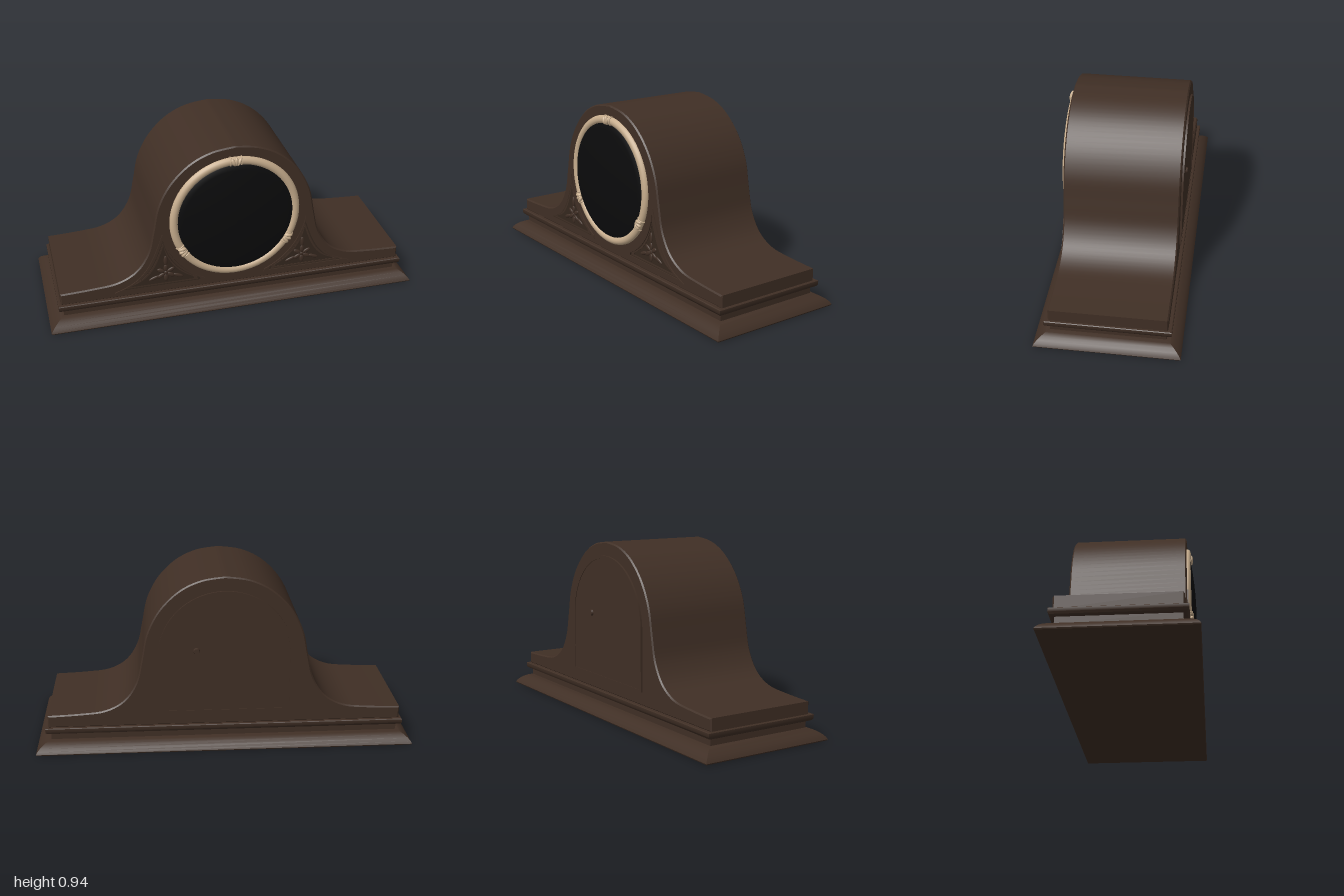
import * as THREE from 'three';
import { toCreasedNormals } from 'three/addons/utils/BufferGeometryUtils.js';

const material = (name, color) => {
  const m = new THREE.MeshStandardMaterial({ color });
  m.name = name;
  return m;
};

export function createModel() {
  const wood = material('dark wood', 0x402f25);
  const carved = material('shaded wood', 0x35271e);
  const brass = material('pale brass', 0xc8ae8e);
  const glass = material('black glass', 0x0b0b0c);

  const clock = new THREE.Group();
  clock.name = 'mantelClock';
  const add = (name, geometry, mat, parent = clock) => {
    const mesh = new THREE.Mesh(geometry, mat);
    mesh.name = name;
    parent.add(mesh);
    return mesh;
  };
  const V = (x, y) => new THREE.Vector2(x, y);

  // Rectangular moulding from a profile of [half depth, height]
  const moulding = (profile) => {
    const pos = [], index = [];
    for (const [d, y] of profile) {
      const w = d + 0.63;
      pos.push(-w, y, d, w, y, d, w, y, -d, -w, y, -d);
    }
    for (let i = 0; i < profile.length - 1; i++) {
      for (let k = 0; k < 4; k++) {
        const a = i * 4 + k, b = i * 4 + (k + 1) % 4;
        index.push(a, b, b + 4, a, b + 4, a + 4);
      }
    }
    const t = (profile.length - 1) * 4;
    index.push(0, 2, 1, 0, 3, 2, t, t + 1, t + 2, t, t + 2, t + 3);
    const g = new THREE.BufferGeometry();
    g.setAttribute('position', new THREE.Float32BufferAttribute(pos, 3));
    g.setIndex(index);
    return toCreasedNormals(g, 0.6);
  };

  // Stepped base
  add('plinth', moulding([[0.367, 0], [0.37, 0.006], [0.363, 0.018], [0.35, 0.032],
    [0.332, 0.045], [0.312, 0.055], [0.292, 0.06]]), wood);
  add('baseNeck', moulding([[0.292, 0.058], [0.292, 0.098]]), wood);
  add('baseBead', moulding([[0.303, 0.095], [0.313, 0.1], [0.319, 0.11], [0.319, 0.128],
    [0.315, 0.131], [0.29, 0.131]]), wood);

  // Case with arched top sweeping into flat shoulders
  const sweep = new THREE.SplineCurve([V(0.935, 0.195), V(0.76, 0.203), V(0.63, 0.219),
    V(0.53, 0.275), V(0.465, 0.375), V(0.435, 0.5), V(0.405, 0.64), V(0.34, 0.765),
    V(0.24, 0.865), V(0.125, 0.921), V(0, 0.94)]).getPoints(50);
  const mirrored = sweep.slice(0, -1).reverse().map((p) => V(-p.x, p.y));
  const outline = new THREE.Shape([V(-0.935, 0.128), V(0.935, 0.128), ...sweep, ...mirrored]);
  const caseGeometry = new THREE.ExtrudeGeometry(outline, {
    depth: 0.586, bevelThickness: 0.007, bevelSize: 0.007, bevelOffset: -0.007, bevelSegments: 1,
  }).translate(0, 0, -0.293);
  add('case', toCreasedNormals(caseGeometry, 0.5), wood);

  // Arched back door, with a raised edge and a small knob
  const doorShape = (inset) => {
    const r = 0.35 - inset, s = new THREE.Shape();
    s.moveTo(-r, 0.2 + inset);
    s.lineTo(r, 0.2 + inset);
    s.lineTo(r, 0.515);
    s.absarc(0, 0.515, r, 0, Math.PI, false);
    s.closePath();
    return s;
  };
  const plate = (shape, depth, z) => toCreasedNormals(
    new THREE.ExtrudeGeometry(shape, { depth, bevelEnabled: false, curveSegments: 40 }).translate(0, 0, z), 0.5);
  const doorFrame = doorShape(0);
  doorFrame.holes.push(doorShape(0.012));
  add('backDoorFrame', plate(doorFrame, 0.012, -0.31), wood);
  add('backDoor', plate(doorShape(0.01), 0.01, -0.307), wood);
  const knob = add('doorKnob', new THREE.CylinderGeometry(0.014, 0.018, 0.012, 20).rotateX(-Math.PI / 2), wood);
  knob.position.set(0.15, 0.545, -0.311);

  // Dial: brass bezel with a domed black glass
  const dial = new THREE.Group();
  dial.name = 'dial';
  dial.position.set(0, 0.535, 0.3);
  clock.add(dial);
  add('bezel', new THREE.TorusGeometry(0.326, 0.023, 14, 96), brass, dial).scale.z = 0.9;
  const dome = [V(0.312, 0.006)];
  for (let i = 11; i >= 0; i--) {
    const r = 0.306 * i / 11;
    dome.push(V(r, 0.014 + 0.027 * (1 - (r / 0.306) ** 2)));
  }
  add('domedGlass', new THREE.LatheGeometry(dome, 72).rotateX(Math.PI / 2), glass, dial);

  // Three small leaf clasps around the bezel
  for (const angle of [90, -30, 210]) {
    const clasp = new THREE.Group();
    clasp.name = 'bezelClasp';
    clasp.rotation.z = THREE.MathUtils.degToRad(angle - 90);
    dial.add(clasp);
    for (const side of [-1, 0, 1]) {
      const leaf = add('claspLeaf', new THREE.SphereGeometry(1, 14, 10), brass, clasp);
      leaf.scale.set(0.011, 0.023, 0.013);
      leaf.position.set(side * 0.015, 0.328 - Math.abs(side) * 0.003, 0.018);
      leaf.rotation.z = -side * 0.45;
    }
    for (const side of [-1, 1]) {
      const band = add('claspBand', new THREE.TorusGeometry(0.023, 0.004, 8, 20).rotateY(Math.PI / 2), brass, clasp);
      band.position.set(side * 0.029, 0.325, 0);
    }
  }

  // Carved corner panels beside the dial
  const cx = 0.375, cy = 0.245;
  const arc = [];
  for (let i = 0; i <= 16; i++) {
    const a = THREE.MathUtils.degToRad(-8 - 57 * i / 16);
    arc.push(V(0.392 * Math.cos(a), 0.535 + 0.392 * Math.sin(a)));
  }
  const edge = new THREE.SplineCurve([V(0.16, 0.16), V(0.65, 0.16)]).getPoints(1)
    .concat(new THREE.SplineCurve([V(0.65, 0.16), V(0.55, 0.205), V(0.48, 0.275),
      V(0.43, 0.37), V(0.39, 0.48)]).getPoints(16).slice(1)).concat(arc);
  const panel = (side, k) => new THREE.Shape(edge.map((p) =>
    V(side * (cx + (p.x - cx) * k), cy + (p.y - cy) * k)));
  for (const side of [-1, 1]) {
    const label = side > 0 ? 'left' : 'right';
    const frame = panel(side, 1);
    frame.holes.push(panel(side, 0.86));
    add(label + 'PanelFrame', plate(frame, 0.006, 0.3), wood);
    const inner = panel(side, 0.8);
    inner.holes.push(panel(side, 0.7));
    add(label + 'PanelInnerFrame', plate(inner, 0.004, 0.3), wood);
    add(label + 'PanelField', plate(panel(side, 0.87), 0.0015, 0.3), carved);

    // Flower with a pointed leaf toward each corner
    const flower = new THREE.Group();
    flower.name = label + 'Flower';
    flower.position.set(side * cx, cy, 0.302);
    clock.add(flower);
    const petal = (name, angle, reach, length, width) => {
      const p = add(name, new THREE.SphereGeometry(1, 12, 8), wood, flower);
      p.scale.set(width, length, 0.006);
      p.position.set(-Math.sin(angle) * reach, Math.cos(angle) * reach, 0);
      p.rotation.z = angle;
    };
    for (let i = 0; i < 6; i++) petal('petal', i * Math.PI / 3, 0.03, 0.023, 0.012);
    petal('flowerHeart', 0, 0, 0.012, 0.012);
    petal('leaf', 0, 0.075, 0.03, 0.011);
    for (const s of [-1, 1]) petal('leaf', s * 1.95, 0.07, 0.03, 0.01);
  }

  return clock;
}
